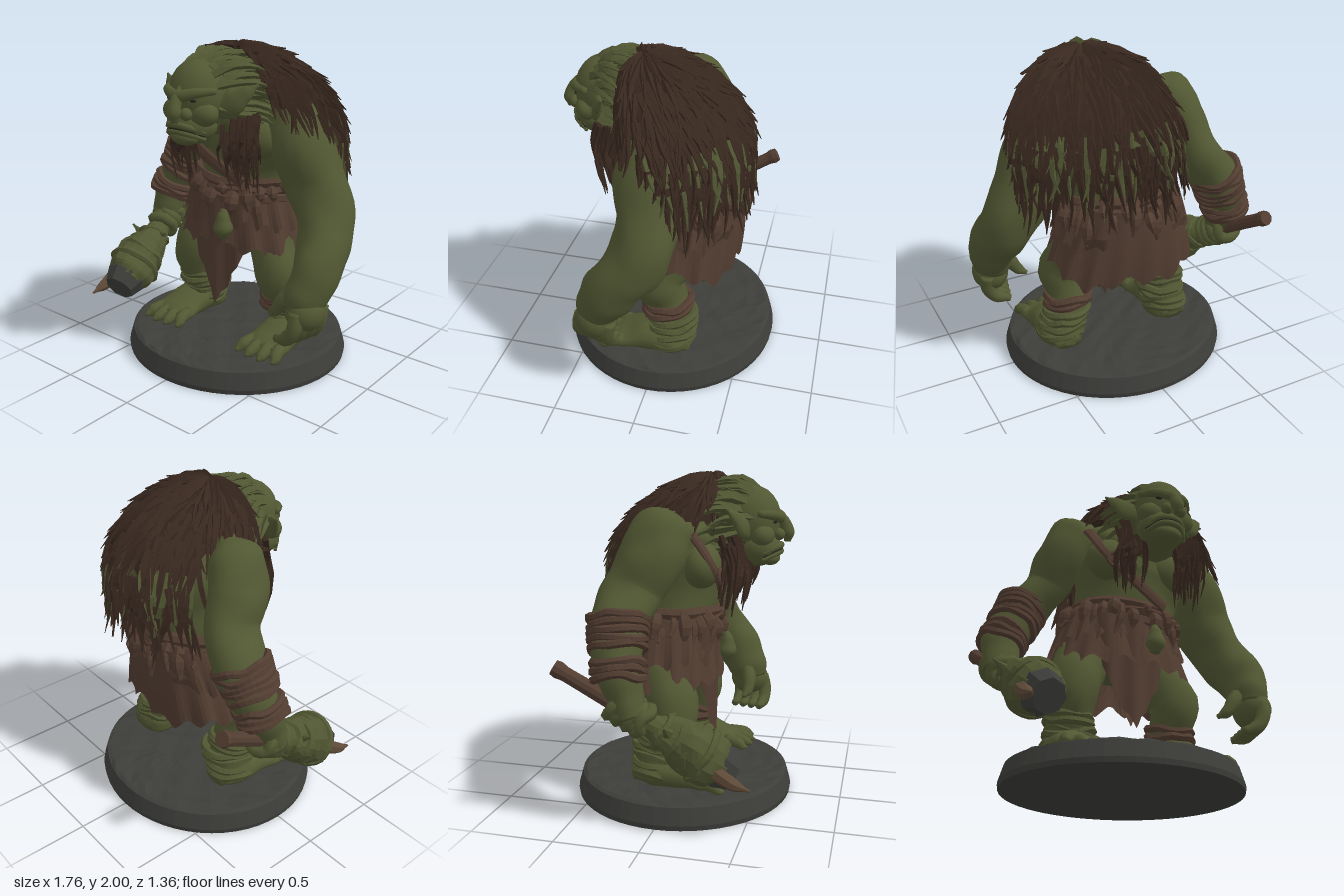
import * as THREE from 'three';
import { mergeGeometries } from 'three/addons/utils/BufferGeometryUtils.js';

const V = (x, y, z) => new THREE.Vector3(x, y, z);
const mat = (color, flatShading = false, side = THREE.FrontSide) =>
  new THREE.MeshStandardMaterial({ color, flatShading, side });
const SKIN = mat(0x525833), SKIN_ROUGH = mat(0x505632, true), FUR = mat(0x38281f, true);
const FUR_SHEET = mat(0x35261d, true, THREE.DoubleSide);
const LEATHER = mat(0x523d31, true, THREE.DoubleSide), STONE = mat(0x3d3d3a, true), BONE = mat(0x5f4a38, true);
const DARK = mat(0x20221a);

let seed = 7;
const rnd = () => (seed = (seed * 16807) % 2147483647) / 2147483647;
const noise = p => Math.sin(p.x * 17 + p.y * 9) * Math.sin(p.y * 15 - p.z * 13) + 0.5 * Math.sin(p.z * 29 + p.x * 23);
const saw = t => Math.abs((((t % 1) + 1) % 1) - 0.5) * 2;

// Solid swept through points [x, y, z, rx, rz], with closed ends
function loft(pts, sides = 16, steps = 24, lump = 0) {
  const centres = pts.map(p => V(p[0], p[1], p[2])), c = new THREE.CatmullRomCurve3(centres);
  const chord = centres[pts.length - 1].clone().sub(centres[0]).normalize();
  const ref = Math.abs(chord.x) > 0.7 ? V(0, 0, 1) : V(1, 0, 0);
  const at = t => {
    const f = t * (pts.length - 1), i = Math.min(Math.floor(f), pts.length - 2), k = f - i, e = k * k * (3 - 2 * k);
    return [3, 4].map(n => { const g = p => p[n] ?? p[3]; return g(pts[i]) * (1 - e) + g(pts[i + 1]) * e; });
  };
  const pos = [], idx = [], id = (i, j) => i * sides + (j % sides);
  for (let i = 0; i <= steps; i++) {
    const t = i / steps, o = c.getPoint(t), T = c.getTangent(t), [rx, rz] = at(t);
    const side = ref.clone().addScaledVector(T, -T.dot(ref)).normalize();
    const up = T.clone().cross(side);
    for (let j = 0; j < sides; j++) {
      const a = j / sides * Math.PI * 2;
      const d = side.clone().multiplyScalar(Math.cos(a) * rx).addScaledVector(up, Math.sin(a) * rz);
      const p = o.clone().add(d);
      p.addScaledVector(d.normalize(), lump * noise(p));
      pos.push(p.x, p.y, p.z);
      if (i < steps) idx.push(id(i, j), id(i, j + 1), id(i + 1, j + 1), id(i, j), id(i + 1, j + 1), id(i + 1, j));
    }
  }
  const s = pos.length / 3, first = pts[0], last = pts[pts.length - 1];
  pos.push(first[0], first[1], first[2], last[0], last[1], last[2]);
  for (let j = 0; j < sides; j++) idx.push(s, id(0, j + 1), id(0, j), s + 1, id(steps, j), id(steps, j + 1));
  return finish(pos, idx);
}
function finish(pos, idx) {
  const g = new THREE.BufferGeometry();
  g.setAttribute('position', new THREE.Float32BufferAttribute(pos, 3));
  g.setIndex(idx);
  g.computeVertexNormals();
  return g;
}
// Open surface from a function of u, v in 0..1
function sheet(fn, nu, nv) {
  const pos = [], idx = [];
  for (let i = 0; i <= nv; i++) for (let j = 0; j <= nu; j++) {
    const p = fn(j / nu, i / nv); pos.push(p.x, p.y, p.z);
    const a = i * (nu + 1) + j, b = a + nu + 1;
    if (i < nv && j < nu) idx.push(a, b, b + 1, a, b + 1, a + 1);
  }
  return finish(pos, idx);
}
// Uneven band round an axis
function band(o, axis, rx, rz, tube) {
  const T = V(...axis).normalize(), side = V(1, 0, 0).addScaledVector(T, -T.x).normalize(), up = T.clone().cross(side);
  const pts = [];
  for (let j = 0; j < 12; j++) {
    const a = j / 12 * Math.PI * 2, k = 1 + (rnd() - 0.5) * 0.08;
    pts.push(V(...o).addScaledVector(side, Math.cos(a) * rx * k).addScaledVector(up, Math.sin(a) * rz * k)
      .addScaledVector(T, (rnd() - 0.5) * 0.03));
  }
  return new THREE.TubeGeometry(new THREE.CatmullRomCurve3(pts, true), 28, tube, 6, true);
}
function ball(x, y, z, rx, ry = rx, rz = rx) {
  return new THREE.SphereGeometry(1, 18, 12).scale(rx, ry, rz).translate(x, y, z);
}
const strand = (p, w) => loft(p.map((q, i) => [q.x, q.y, q.z, w * (i === p.length - 1 ? 0.12 : 1 - 0.2 * i)]), 4, 5);

// Hunched back surface: a runs round from the spine, phi down from the crown
function back(a, phi, lift = 0) {
  const f = Math.min(phi, Math.PI / 2), s = Math.sin(f), c = Math.cos(f), drop = (phi - f) * 0.45, k = Math.cos(a);
  const depth = k > 0 ? -k * (0.41 + lift) : (-k) ** 0.6 * (0.31 + lift);
  return V(0.13 + Math.sin(a) * s * (0.54 + lift), 1.4 + c * (0.57 + lift) - drop, -0.08 + 0.22 * c * c + depth * s);
}

export function createModel() {
  const root = new THREE.Group();
  const add = (name, m, ...geos) => {
    geos.forEach(g => g.deleteAttribute('uv'));
    const mesh = new THREE.Mesh(mergeGeometries(geos), m);
    mesh.name = name; root.add(mesh);
  };

  // Rocky oval base
  const profile = [[0, 0], [0.72, 0], [0.725, 0.03], [0.695, 0.13], [0.67, 0.14]];
  for (let i = 9; i >= 0; i--) profile.push([i * 0.067, 0.135]);
  const base = new THREE.LatheGeometry(profile.map(p => new THREE.Vector2(...p)), 56), bp = base.attributes.position;
  for (let i = 0; i < bp.count; i++) {
    const x = bp.getX(i), z = bp.getZ(i);
    if (bp.getY(i) > 0.132) bp.setY(i, 0.14 + 0.008 * noise(V(x * 1.3, 0.3, z * 1.3)));
  }
  base.scale(1, 1, 0.94); base.computeVertexNormals();
  add('base', STONE, base);

  // Torso and neck
  add('torso', SKIN, loft([[0.02, 0.8, -0.1, 0.26, 0.22], [0.04, 1.05, -0.1, 0.32, 0.26], [0.05, 1.25, -0.08, 0.33, 0.28],
    [0.08, 1.45, -0.06, 0.4, 0.3], [0.1, 1.63, 0, 0.38, 0.26], [0.12, 1.76, 0.07, 0.25, 0.16], [0.12, 1.86, 0.12, 0.1, 0.06]], 28, 36, 0.008),
    ball(-0.14, 1.45, 0.14, 0.18, 0.14, 0.12), ball(0.25, 1.45, 0.14, 0.18, 0.14, 0.12));
  add('neck', SKIN, loft([[0.1, 1.66, 0.05, 0.24, 0.22], [0.08, 1.67, 0.25, 0.2, 0.21], [0.07, 1.68, 0.38, 0.17, 0.19]], 18, 10));
  add('chestStrap', LEATHER, loft([[-0.3, 1.64, 0.12, 0.02, 0.04], [-0.22, 1.45, 0.23, 0.018, 0.045], [-0.06, 1.32, 0.235, 0.018, 0.045], [0.2, 1.17, 0.19, 0.018, 0.04]], 8, 16),
    new THREE.TorusGeometry(0.045, 0.013, 6, 16).translate(-0.18, 1.39, 0.26));

  // Head: sloping skull, heavy brow, hooked nose, wide jaw and ears
  add('head', SKIN, ball(0.06, 1.71, 0.4, 0.18, 0.21, 0.18), ball(0.045, 1.55, 0.45, 0.155, 0.115, 0.135),
    ball(-0.03, 1.625, 0.48, 0.1, 0.075, 0.075), ball(0.15, 1.625, 0.48, 0.1, 0.075, 0.075), ball(0.05, 1.485, 0.52, 0.095, 0.045, 0.06));
  add('brow', SKIN, loft([[-0.11, 1.755, 0.47, 0.02], [-0.04, 1.745, 0.545, 0.03], [0.06, 1.725, 0.578, 0.036], [0.15, 1.745, 0.545, 0.03], [0.23, 1.755, 0.46, 0.02]], 8, 18));
  add('nose', SKIN, loft([[0.06, 1.77, 0.55, 0.02], [0.062, 1.7, 0.6, 0.034, 0.035], [0.066, 1.64, 0.622, 0.044, 0.04], [0.068, 1.585, 0.62, 0.022, 0.02]], 12, 14),
    ball(0.02, 1.63, 0.575, 0.036), ball(0.112, 1.63, 0.575, 0.036));
  add('eyes', DARK, ball(-0.02, 1.705, 0.555, 0.025, 0.01, 0.012), ball(0.14, 1.705, 0.55, 0.025, 0.01, 0.012));
  const lip = (y, z, r) => loft([[-0.09, y - 0.04, z - 0.08, r * 0.6], [-0.01, y, z, r], [0.1, y, z, r], [0.18, y - 0.04, z - 0.085, r * 0.6]], 8, 14);
  add('lips', SKIN, lip(1.56, 0.575, 0.02), lip(1.522, 0.575, 0.018));
  add('mouth', DARK, lip(1.54, 0.58, 0.007));
  for (const s of [-1, 1]) {
    const x = d => 0.07 + s * d;
    add(s > 0 ? 'leftEar' : 'rightEar', SKIN, loft([[x(0.15), 1.66, 0.4, 0.03, 0.06], [x(0.22), 1.69, 0.38, 0.03, 0.075],
      [x(0.28), 1.74, 0.35, 0.025, 0.045], [x(0.34), 1.79, 0.31, 0.006]], 10, 12));
  }

  // Arms
  add('leftArm', SKIN, loft([[0.33, 1.7, 0, 0.08, 0.08], [0.43, 1.58, 0.02, 0.165, 0.155], [0.52, 1.4, 0.03, 0.185, 0.185], [0.59, 1.2, 0, 0.185, 0.175], [0.69, 1, 0.03, 0.165, 0.18],
    [0.745, 0.8, 0.17, 0.14, 0.165], [0.735, 0.64, 0.27, 0.125, 0.14], [0.72, 0.54, 0.3, 0.1, 0.11]], 20, 40, 0.007));
  add('rightArm', SKIN, loft([[-0.22, 1.75, -0.04, 0.07, 0.08], [-0.33, 1.66, -0.06, 0.16, 0.18], [-0.41, 1.5, -0.1, 0.15, 0.19], [-0.46, 1.34, -0.19, 0.135, 0.18], [-0.61, 1.13, -0.24, 0.145, 0.165],
    [-0.72, 0.92, -0.2, 0.13, 0.13], [-0.74, 0.78, -0.15, 0.11, 0.1], [-0.74, 0.68, -0.12, 0.1, 0.09]], 20, 40, 0.007));
  const wraps = [];
  for (let i = 0; i < 9; i++) {
    const t = i / 8;
    if (i !== 5) wraps.push(band([-0.59 - 0.145 * t, 1.19 - 0.31 * t, -0.24 + 0.05 * t], [-0.4, -1, 0.15], 0.15 - 0.02 * t, 0.16 - 0.02 * t, 0.025));
  }
  add('forearmWraps', LEATHER, ...wraps);

  // Left hand
  const fingers = [0, 1, 2, 3].map(i => {
    const z = 0.2 + i * 0.06, x = 0.785 - i * 0.015;
    return loft([[x, 0.56, z, 0.045], [x, 0.47, z + 0.02, 0.046], [x - 0.05, 0.39, z + 0.02, 0.042], [x - 0.14, 0.36, z, 0.024]], 8, 12);
  });
  add('leftHand', SKIN, ball(0.74, 0.54, 0.29, 0.115, 0.12, 0.13), ...fingers,
    loft([[0.67, 0.64, 0.28, 0.05], [0.6, 0.57, 0.31, 0.048], [0.54, 0.49, 0.31, 0.036], [0.49, 0.46, 0.29, 0.014]], 8, 12));

  // Club: s is the distance along the handle from its butt
  const dir = V(0.16, -0.62, 1.05).normalize(), axis = dir.toArray();
  const on = (s, r, dx = 0, dy = 0) => [-0.79 + dir.x * s + dx, 0.94 + dir.y * s + dy, -0.55 + dir.z * s, r];
  add('clubHandle', LEATHER, loft([on(0, 0.045), on(0.03, 0.05), on(0.08, 0.042), on(0.7, 0.05)], 10, 20));
  add('clubWrap', SKIN_ROUGH, loft([on(0.58, 0.06), on(0.72, 0.1), on(0.88, 0.155), on(1.03, 0.155), on(1.1, 0.12)], 14, 18, 0.014),
    ...[0.7, 0.8, 0.88, 0.96].map((s, i) => band(on(s, 0).slice(0, 3), axis, 0.09 + 0.02 * i, 0.09 + 0.02 * i, 0.025)),
    loft([on(0.76, 0.035, -0.08, 0.05), on(0.76, 0.006, -0.16, 0.1)], 6, 4), loft([on(0.72, 0.03, 0.08, 0.05), on(0.74, 0.006, 0.15, 0.08)], 6, 4));
  add('clubStone', STONE, loft([on(0.98, 0.12), on(1.08, 0.135), on(1.17, 0.1)], 8, 4));
  add('clubSpike', BONE, loft([on(1.05, 0.05, -0.1), on(1.18, 0.038, -0.13), on(1.3, 0.006, -0.15, 0.03)], 7, 6));
  add('rightHand', SKIN, ball(...on(0.5, 0.1).slice(0, 3), 0.1, 0.09, 0.12),
    ...[0.4, 0.46, 0.52, 0.58].map(s => band(on(s, 0).slice(0, 3), axis, 0.08, 0.075, 0.036)));

  // Legs, wrapped shins and broad feet
  for (const s of [-1, 1]) {
    const side = s > 0 ? 'left' : 'right', fx = s > 0 ? 0.42 : -0.35, kx = s > 0 ? 0.35 : -0.33;
    add(side + 'Leg', SKIN, loft([[s * 0.2, 0.92, -0.14, 0.15, 0.16], [s * 0.27, 0.76, -0.06, 0.165, 0.175], [kx, 0.6, 0.01, 0.15, 0.155],
      [kx, 0.44, -0.04, 0.125, 0.14], [(kx + fx) / 2, 0.3, -0.08, 0.125, 0.14], [fx, 0.18, -0.07, 0.14, 0.16]], 18, 28, 0.007));
    const toes = [-1.5, -0.5, 0.5, 1.5].map(k => loft([[fx + k * 0.065, 0.2, 0.2, 0.042], [fx + k * 0.08, 0.19, 0.29, 0.04],
      [fx + k * 0.088, 0.175, 0.35 - Math.abs(k) * 0.02, 0.032], [fx + k * 0.09, 0.165, 0.385 - Math.abs(k) * 0.02, 0.012]], 8, 10));
    add(side + 'Foot', SKIN, loft([[fx, 0.19, -0.22, 0.08, 0.05], [fx, 0.22, -0.1, 0.145, 0.1], [fx, 0.22, 0.05, 0.14, 0.1],
      [fx, 0.195, 0.2, 0.15, 0.06], [fx, 0.18, 0.28, 0.13, 0.04]], 16, 16, 0.004), ...toes);
    add(side + 'ShinWraps', SKIN_ROUGH, ...[0.22, 0.27, 0.32, 0.36].map((y, i) => band([fx - s * i * 0.015, y, -0.08], [0, 1, 0.15], 0.13, 0.145, 0.026)));
    add(side + 'KneeWraps', s > 0 ? LEATHER : SKIN_ROUGH, ...[0.4, 0.44].map(y => band([kx, y, -0.05], [0, 1, 0.2], 0.13, 0.145, 0.026)));
  }

  // Ragged skirt in two layers, front and rear flaps, belt
  const skirt = (y0, y1, r0, r1, k) => sheet((u, v) => {
    const a = u * Math.PI * 2, c = Math.cos(a), b = (1 - c) / 2, fold = 0.014 * Math.sin(a * k) * v;
    const end = y1 - 0.08 * b * (y0 < 1.1 ? 1 : 0.2) - 0.07 * saw(u * k) - 0.07 * saw(u * 5 + 0.2) * b;
    const r = r0 + (r1 - r0) * v + fold, depth = c > 0 ? 0.86 - 0.1 * v : 0.98 - 0.3 * v;
    return V(0.01 + Math.sin(a) * r, y0 + (end - y0) * v, -0.12 + Math.sign(c) * Math.abs(c) ** 0.75 * r * depth);
  }, 96, 8);
  add('skirt', LEATHER, skirt(1.08, 0.79, 0.34, 0.46, 14), skirt(1.14, 0.94, 0.35, 0.43, 19));
  const flap = (x, w0, y0, len0, z0, dz) => sheet((u, v) => {
    const w = u * 2 - 1, len = len0 * (1 - 0.5 * Math.abs(w) ** 1.2) - 0.03 * saw(u * 5);
    return V(x + w0 * w * (1 - 0.15 * v), y0 - v * len, z0 + dz * v - 0.05 * w * w * Math.sign(z0) + 0.012 * Math.sin(u * 16));
  }, 30, 10);
  add('frontFlap', LEATHER, flap(-0.01, 0.23, 1.05, 0.71, 0.215, -0.02));
  add('rearFlaps', LEATHER, flap(0.2, 0.16, 0.98, 0.45, -0.42, 0.12), flap(-0.12, 0.2, 0.98, 0.4, -0.42, 0.06));
  add('belt', LEATHER, ...[1.06, 1.11, 1.16].map(y => band([0.03, y, -0.1], [0, 1, 0], 0.33, 0.28, 0.036)));
  const tabs = [];
  for (let i = 0; i < 34; i++) {
    const a = (i + rnd() * 0.8) / 34 * Math.PI * 2, x = Math.sin(a), z = Math.cos(a), y = 1.1 + rnd() * 0.08, l = 0.07 + rnd() * 0.16, w = 0.02 + rnd() * 0.022;
    const k = z < 0 ? 0.37 : 0.32;
    tabs.push(loft([[0.03 + x * 0.34, y, -0.1 + z * (k - 0.04), w], [0.03 + x * 0.38, y - l * 0.4, -0.1 + z * k, w * 1.2],
      [0.02 + x * 0.4 + (rnd() - 0.5) * 0.05, y - l, -0.11 + z * k, w * 0.4]], 6, 6));
  }
  add('beltTabs', LEATHER, ...tabs);
  add('beltGourd', SKIN, loft([[0.1, 1.0, 0.24, 0.02], [0.1, 0.95, 0.25, 0.04], [0.1, 0.88, 0.25, 0.062], [0.1, 0.82, 0.24, 0.03]], 10, 12));

  // Fur mantle: under-sheet and overlapping rows of strands
  add('furMantle', FUR_SHEET, sheet((u, v) => {
    const a = 2.5 - u * 5, low = a < -0.9 ? 1.05 : a > 1.7 ? 1.15 : 1.35;
    return back(a, v * low - (v === 1 ? 0.14 * saw(u * 14) : 0), -0.005);
  }, 64, 14));
  const fur = [], greenFur = [];
  for (let row = 0; row < 11; row++) {
    const phi = 0.05 + row * 0.142, n = 14 + row * 5;
    for (let i = 0; i < n; i++) {
      const a = -2.5 + 5 * (i + rnd()) / n, sway = (rnd() - 0.5) * 0.45;
      if ((a < -0.9 && phi > 0.72) || (a > 1.7 && phi > 0.95)) continue;
      const len = 0.38 + rnd() * 0.25 + (row > 7 ? 0.3 * rnd() + 0.08 : 0), tip = 0.02 + rnd() * 0.035;
      const p = [0, 1, 2, 3].map(k => back(a + sway * k / 3 + (rnd() - 0.5) * 0.05, phi + len * k / 3, [0, 0.014, 0.018, tip][k]));
      (row === 8 && i % 3 ? greenFur : fur).push(strand(p, 0.016 + rnd() * 0.014));
    }
  }
  add('furStrands', FUR, ...fur);
  add('mossyStrands', SKIN_ROUGH, ...greenFur);

  // Tousled hair round the head, and long locks hanging on the chest
  const hair = [], locks = [];
  for (let i = 0; i < 84; i++) {
    const a = (i / 83 - 0.5) * 4.4, x = Math.sin(a), y = Math.cos(a), q = rnd() * 0.14, j = (rnd() - 0.5) * 0.14, h = rnd() * 0.03;
    hair.push(strand([V(0.07 + x * 0.16, 1.71 + y * 0.18, 0.44 - q), V(0.08 + x * 0.2 + j / 2, 1.71 + y * (0.225 + h), 0.37 - q),
      V(0.09 + x * 0.25 + j, 1.7 + y * (0.24 + h), 0.28 - q), V(0.1 + x * 0.3 + j, 1.66 + y * (0.26 + h), 0.22 - q)], 0.02 + rnd() * 0.014));
  }
  for (let i = 0; i < 70; i++) {
    const left = i % 5 > 1, x = left ? 0.2 + rnd() * 0.18 : -0.18 + rnd() * 0.12, z = 0.24 + rnd() * 0.14, y = 1.5 + rnd() * 0.14;
    const end = 1.15 + rnd() * 0.2, j = (rnd() - 0.5) * 0.1;
    locks.push(strand([V(x, y, z), V(x + 0.01, y - 0.1, z + 0.03), V(x + j, (y + end) / 2 - 0.03, z + 0.03), V(x + j * 0.6, end, z)], 0.016 + rnd() * 0.01));
  }
  add('hair', SKIN_ROUGH, ...hair);
  add('chestLocks', FUR, ...locks);
  return root;
}
